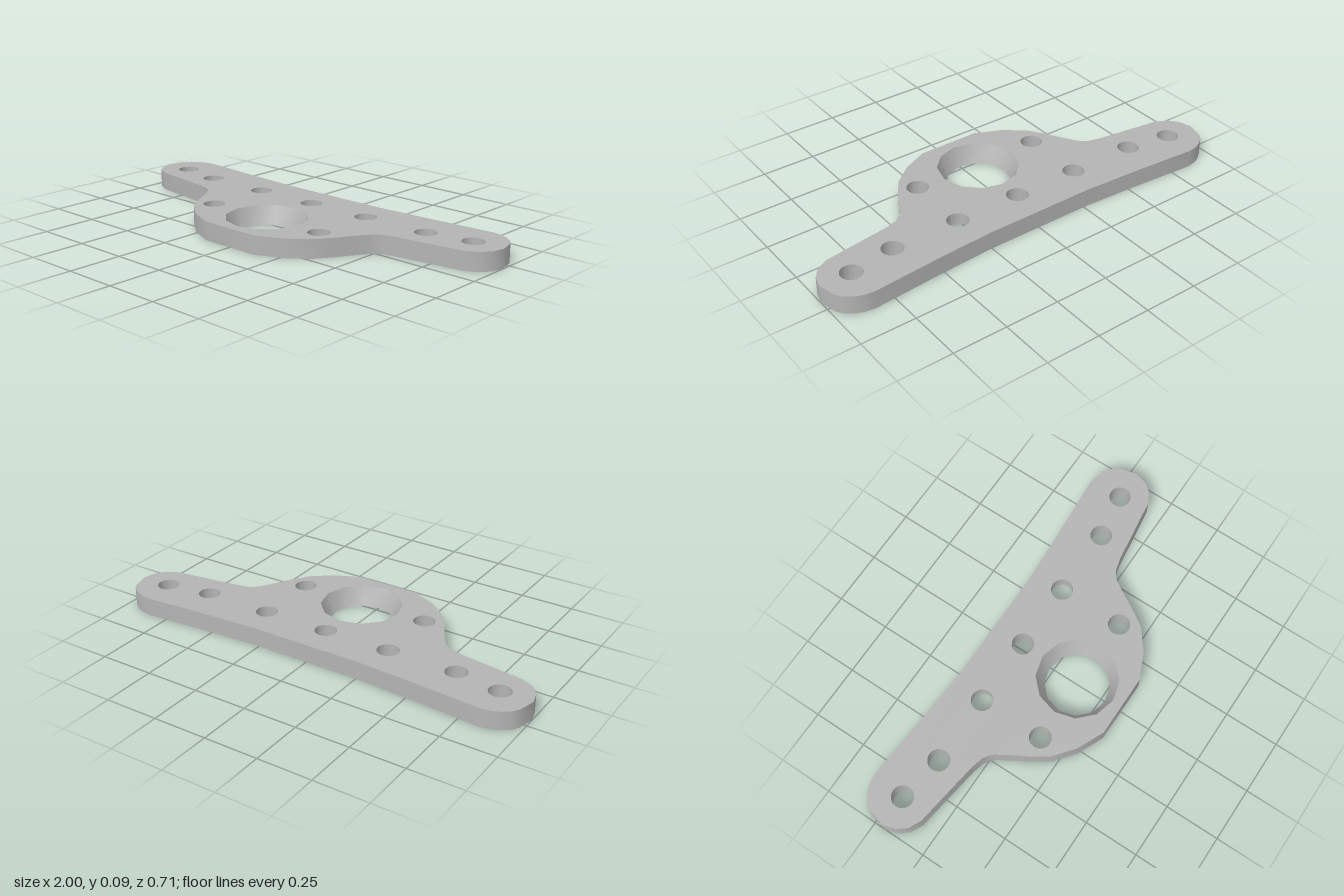
import * as THREE from 'three';
import { mergeGeometries, toCreasedNormals } from 'three/addons/utils/BufferGeometryUtils.js';

const TOP = 0.085, POCKET = 0.03;

// Regular polygon in the (x, z) plane
function ring(cx, cz, r, sides, start = 0) {
  return Array.from({ length: sides }, (_, i) => {
    const a = start + (i / sides) * Math.PI * 2;
    return new THREE.Vector2(cx + r * Math.cos(a), cz + r * Math.sin(a));
  });
}

// Flat horizontal face with holes, facing up or down
function cap(points, holes, y, up) {
  const shape = new THREE.Shape(points);
  shape.holes = holes.map((h) => new THREE.Path(h));
  const g = new THREE.ShapeGeometry(shape).rotateX(Math.PI / 2).translate(0, y, 0);
  if (up) g.setIndex(Array.from(g.index.array).reverse());
  const flat = g.toNonIndexed();
  flat.deleteAttribute('uv');
  flat.deleteAttribute('normal');
  return flat;
}

// Wall between a lower and an upper loop, facing out of or into the loop
function wall(low, high, y0, y1, inward) {
  const pos = [];
  low.forEach((a, i) => {
    const j = (i + 1) % low.length;
    const A = [a.x, y0, a.y], B = [low[j].x, y0, low[j].y];
    const C = [high[j].x, y1, high[j].y], D = [high[i].x, y1, high[i].y];
    const quad = [A, D, C, A, C, B];
    if (inward) quad.reverse();
    pos.push(...quad.flat());
  });
  const g = new THREE.BufferGeometry();
  g.setAttribute('position', new THREE.Float32BufferAttribute(pos, 3));
  return g;
}

function part(name, geometries, material) {
  const mesh = new THREE.Mesh(toCreasedNormals(mergeGeometries(geometries), 0.7), material);
  mesh.name = name;
  return mesh;
}

export function createModel() {
  const grey = new THREE.MeshStandardMaterial({ color: 0xb4b4b4 });
  grey.name = 'plain grey';

  // Half outline from front centre round the arm to the back, then mirrored
  const half = [
    [0.145, 0.355], [0.267, 0.3], [0.36, 0.225], [0.41, 0.15], [0.45, 0.08], [0.487, 0.02],
    [0.507, -0.001], [0.53, -0.015], [0.59, -0.03], [0.895, -0.073], [0.95, -0.1], [0.985, -0.145],
    [1, -0.2], [0.98, -0.28], [0.96, -0.31], [0.925, -0.335], [0.89, -0.35], [0.845, -0.357],
    [0.555, -0.335], [0.267, -0.318],
  ];
  const outline = [...half, ...half.map(([x, z]) => [-x, z]).reverse()]
    .map(([x, z]) => new THREE.Vector2(x, z));
  if (THREE.ShapeUtils.isClockWise(outline)) outline.reverse();

  // Tapered centre opening
  const openTop = ring(0, 0.125, 0.185, 12);
  const openBottom = ring(0, 0.125, 0.146, 12);

  // Bolt holes; those with a nut pocket are kept apart
  const plain = [[0, -0.165]], pocketed = [];
  for (const s of [-1, 1]) {
    plain.push([s * 0.855, -0.2], [s * 0.64, -0.165], [s * 0.315, 0.14]);
    pocketed.push([s * 0.315, -0.165]);
  }
  const bolt = ([x, z]) => ring(x, z, 0.05, 16);
  const hex = ([x, z]) => ring(x, z, 0.1, 6, Math.PI / 6);
  const plainHoles = plain.map(bolt);
  const pocketHoles = pocketed.map(bolt);
  const pockets = pocketed.map(hex);

  const model = new THREE.Group();
  model.name = 'mountingPlate';
  model.add(part('plateBody', [
    cap(outline, [openTop, ...plainHoles, ...pocketHoles], TOP, true),
    cap(outline, [openBottom, ...plainHoles, ...pockets], 0, false),
    wall(outline, outline, 0, TOP, false),
  ], grey));
  model.add(part('centreOpening', [wall(openBottom, openTop, 0, TOP, true)], grey));
  model.add(part('boltHoles', [
    ...plainHoles.map((h) => wall(h, h, 0, TOP, true)),
    ...pocketHoles.map((h) => wall(h, h, POCKET, TOP, true)),
  ], grey));
  model.add(part('nutPockets', pockets.flatMap((p, i) => [
    wall(p, p, 0, POCKET, true),
    cap(p, [pocketHoles[i]], POCKET, false),
  ]), grey));
  return model;
}
